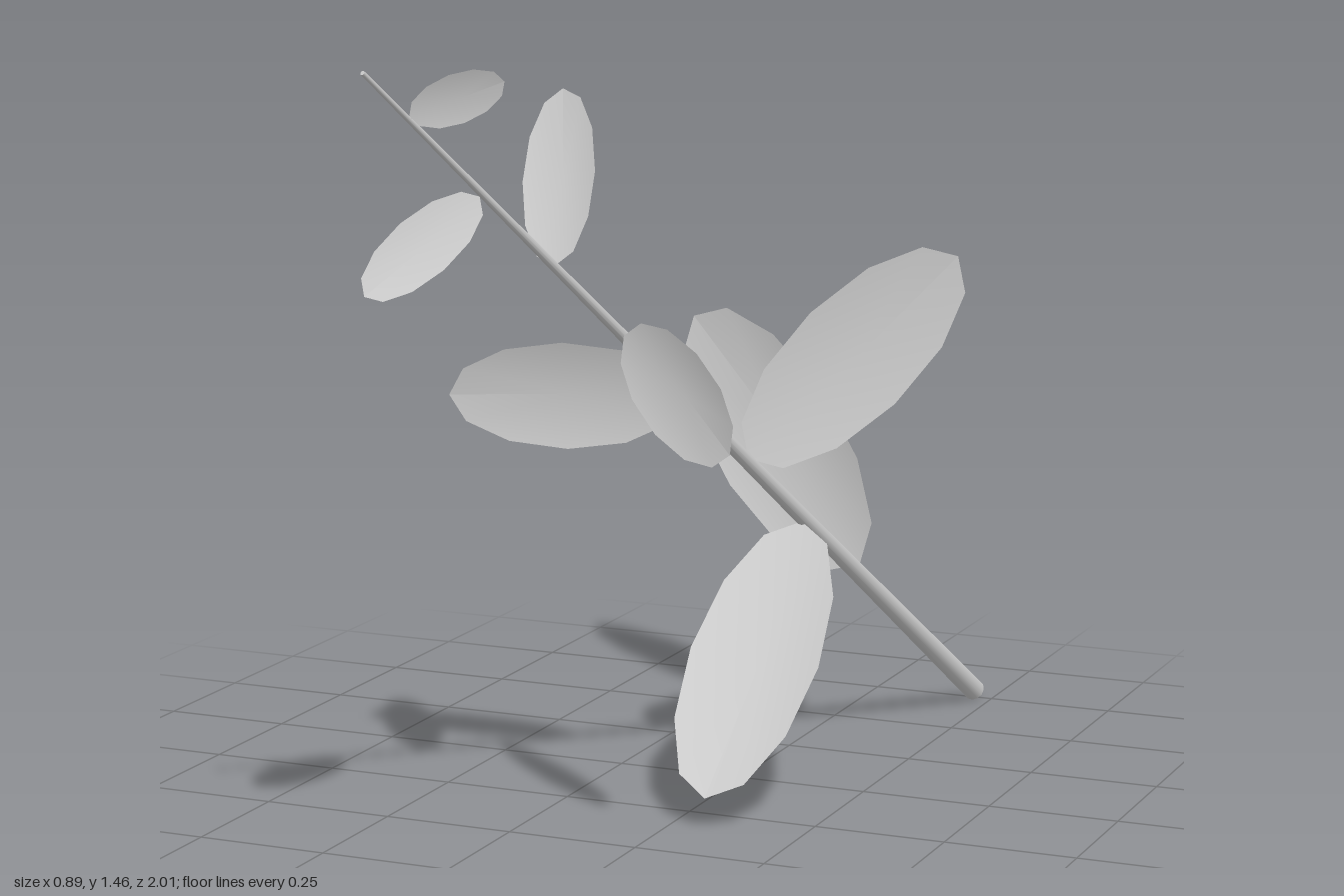
import * as THREE from 'three';

const leafMat = new THREE.MeshStandardMaterial({ color: 0xcccccc, side: THREE.DoubleSide });
leafMat.name = 'leaf grey';
const stemMat = new THREE.MeshStandardMaterial({ color: 0xcccccc });
stemMat.name = 'stem grey';

// Tapered stem between two points
function makeStem(from, to, r0, r1) {
  const dir = to.clone().sub(from);
  const stem = new THREE.Mesh(new THREE.CylinderGeometry(r1, r0, dir.length(), 12), stemMat);
  stem.position.copy(from).lerp(to, 0.5);
  stem.quaternion.setFromUnitVectors(new THREE.Vector3(0, 1, 0), dir.normalize());
  stem.name = 'stem';
  return stem;
}

// Oval, slightly cupped leaf: a 12-sided fan whose middle is pushed back.
// It points along half and faces +z as far as that direction allows.
function makeLeaf(center, half) {
  const a = half.length();
  const geo = new THREE.CircleGeometry(1, 12);
  geo.attributes.position.setZ(0, -0.11);
  geo.scale(a, a * 0.425, a);
  geo.computeVertexNormals();
  const x = half.clone().normalize();
  const y = new THREE.Vector3(0, 0, 1).cross(x).normalize();
  const z = x.clone().cross(y);
  const leaf = new THREE.Mesh(geo, leafMat);
  leaf.quaternion.setFromRotationMatrix(new THREE.Matrix4().makeBasis(x, y, z));
  leaf.position.copy(center);
  return leaf;
}

export function createModel() {
  const group = new THREE.Group();
  group.name = 'leafyBranch';
  const v = (p) => new THREE.Vector3(...p);

  group.add(makeStem(v([0.215, 0.02, -0.99]), v([-0.13, 1.457, 1.0]), 0.022, 0.004));

  // Leaves from the foot of the stem up: centre, centre-to-tip vector
  const leaves = [
    [[-0.097, 0.585, -0.66], [-0.228, 0.213, -0.123]],
    [[0.086, 0.281, -0.104], [-0.012, -0.218, 0.208]],
    [[0.247, 0.843, -0.182], [0.183, 0.192, -0.055]],
    [[-0.21, 0.785, 0.086], [-0.23, -0.012, 0.01]],
    [[0.147, 0.866, 0.404], [0.144, -0.076, 0.106]],
    [[-0.068, 1.23, 0.41], [-0.026, 0.143, -0.075]],
    [[-0.152, 1.15, 0.76], [-0.072, -0.078, 0.069]],
    [[-0.021, 1.41, 0.89], [0.088, 0.032, 0.007]],
  ];
  leaves.forEach(([center, half], i) => {
    const leaf = makeLeaf(v(center), v(half));
    leaf.name = `leaf${i + 1}`;
    group.add(leaf);
  });
  return group;
}
